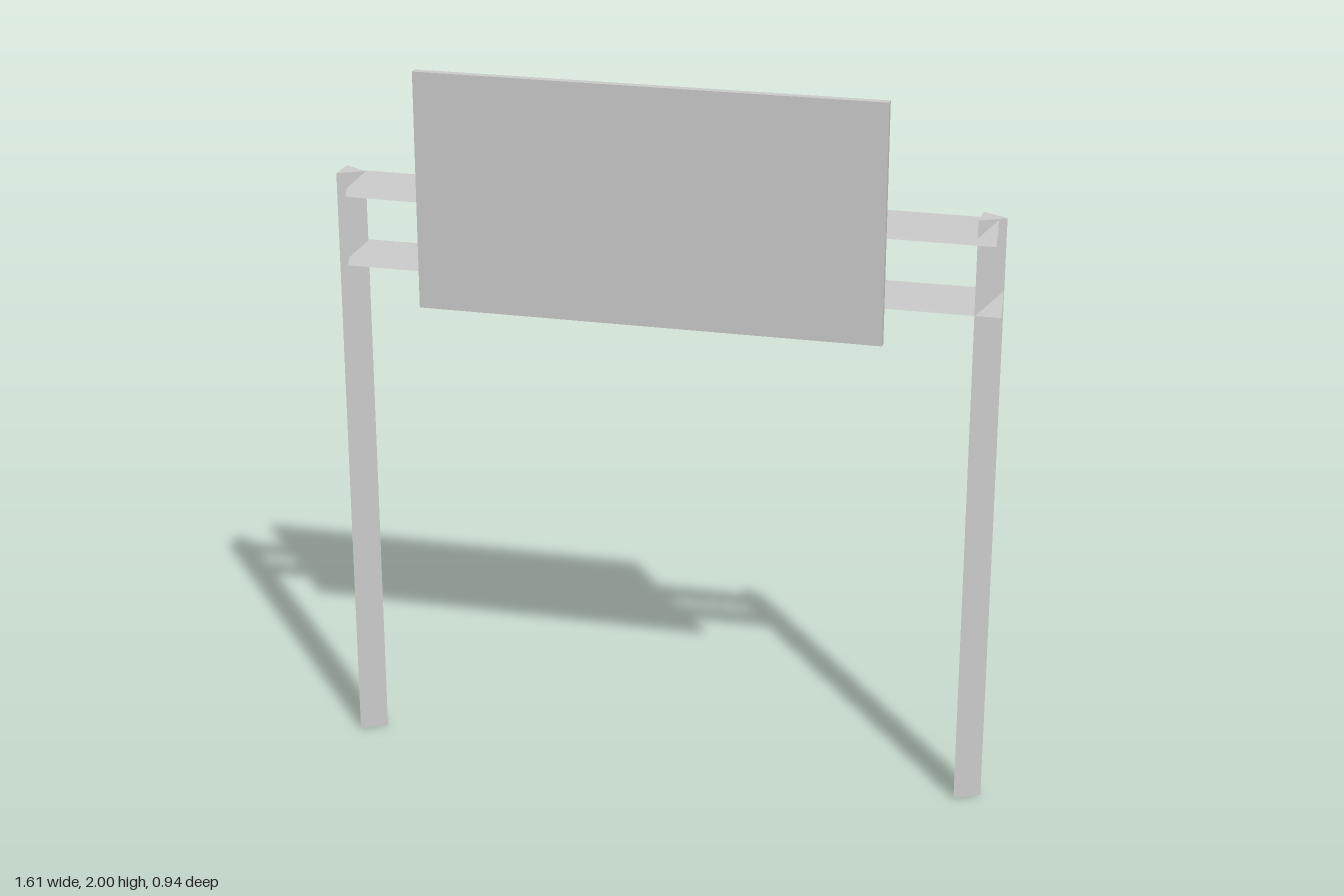
import * as THREE from 'three';

const material = new THREE.MeshStandardMaterial({ color: 0xcccccc, flatShading: true });

// Closed triangular prism between two three-cornered cross-sections,
// corners counter-clockwise as seen from the end section.
function prism(name, start, end) {
  const points = [];
  for (let i = 0; i < 3; i++) {
    const j = (i + 1) % 3;
    points.push(start[i], start[j], end[j], start[i], end[j], end[i]);
  }
  points.push(start[2], start[1], start[0], ...end);
  const geometry = new THREE.BufferGeometry().setFromPoints(points.map((p) => new THREE.Vector3(...p)));
  geometry.computeVertexNormals();
  const mesh = new THREE.Mesh(geometry, material);
  mesh.name = name;
  return mesh;
}

// Upright three-sided post with its flat side to the front
function post(name, x, frontZ) {
  const section = (y) => [[x - 0.04, y, frontZ], [x + 0.04, y, frontZ], [x, y, frontZ - 0.067]];
  return prism(name, section(0), section(1.693));
}

// Three-sided rail with its ridge on top, running from post to post
function rail(name, y, reach) {
  const top = y + 0.066;
  return prism(
    name,
    [[-0.79, y, -0.395], [-0.74, y, -0.46], [-0.77, top, -0.43]],
    [[0.762 + reach, y, 0.467], [0.757 + reach, y, 0.363], [0.78 + reach, top, 0.432]],
  );
}

export function createModel() {
  const model = new THREE.Group();
  model.name = 'signBoard';

  model.add(post('rightPost', -0.77, -0.406), post('leftPost', 0.762, 0.434));
  model.add(rail('upperRail', 1.628, 0), rail('lowerRail', 1.432, 0.022));

  // Flat board in front of the rails, turned to match them
  const board = new THREE.Mesh(new THREE.BoxGeometry(1.275, 0.66, 0.022), material);
  board.name = 'board';
  board.position.set(-0.055, 1.67, 0.036);
  board.rotation.y = -0.503;
  model.add(board);

  return model;
}
